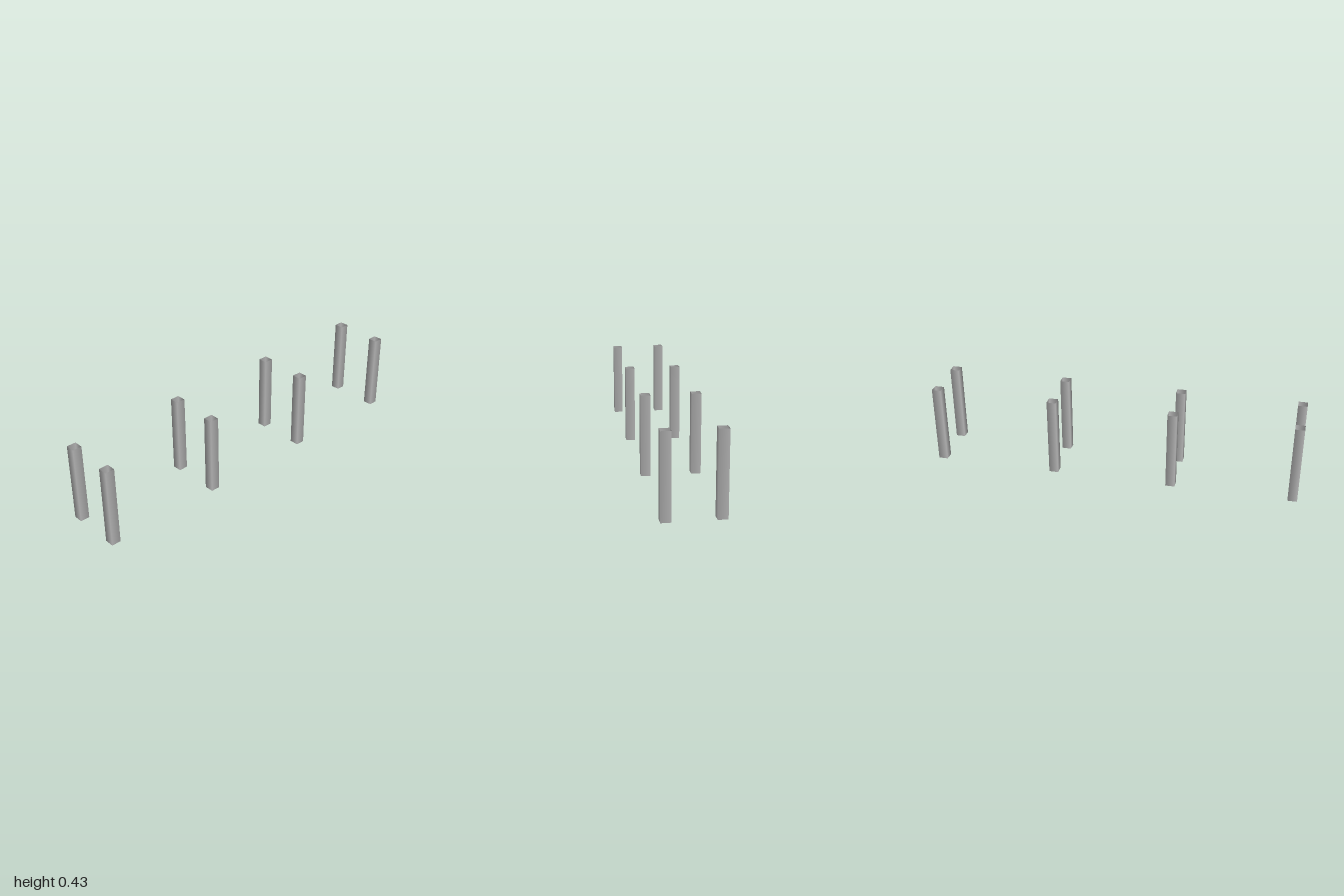
import * as THREE from 'three';

export function createModel() {
  const model = new THREE.Group();
  model.name = 'postRows';

  const grey = new THREE.MeshStandardMaterial({ color: 0xb4b4b4, side: THREE.DoubleSide });
  grey.name = 'grey';

  // Square post: a four-sided tube, open at both ends, with soft shaded corners
  const width = 0.05, height = 0.427;
  const radius = width / Math.SQRT2;
  const postGeometry = new THREE.CylinderGeometry(radius, radius, height, 4, 1, true, Math.PI / 4);

  // Two rows of four evenly spaced posts
  for (const [side, x] of [['left', 0.131], ['right', -0.131]]) {
    for (let i = 0; i < 4; i++) {
      const post = new THREE.Mesh(postGeometry, grey);
      post.name = `${side}Post${i + 1}`;
      post.position.set(x, height / 2, 0.975 - i * 0.65);
      model.add(post);
    }
  }
  return model;
}
